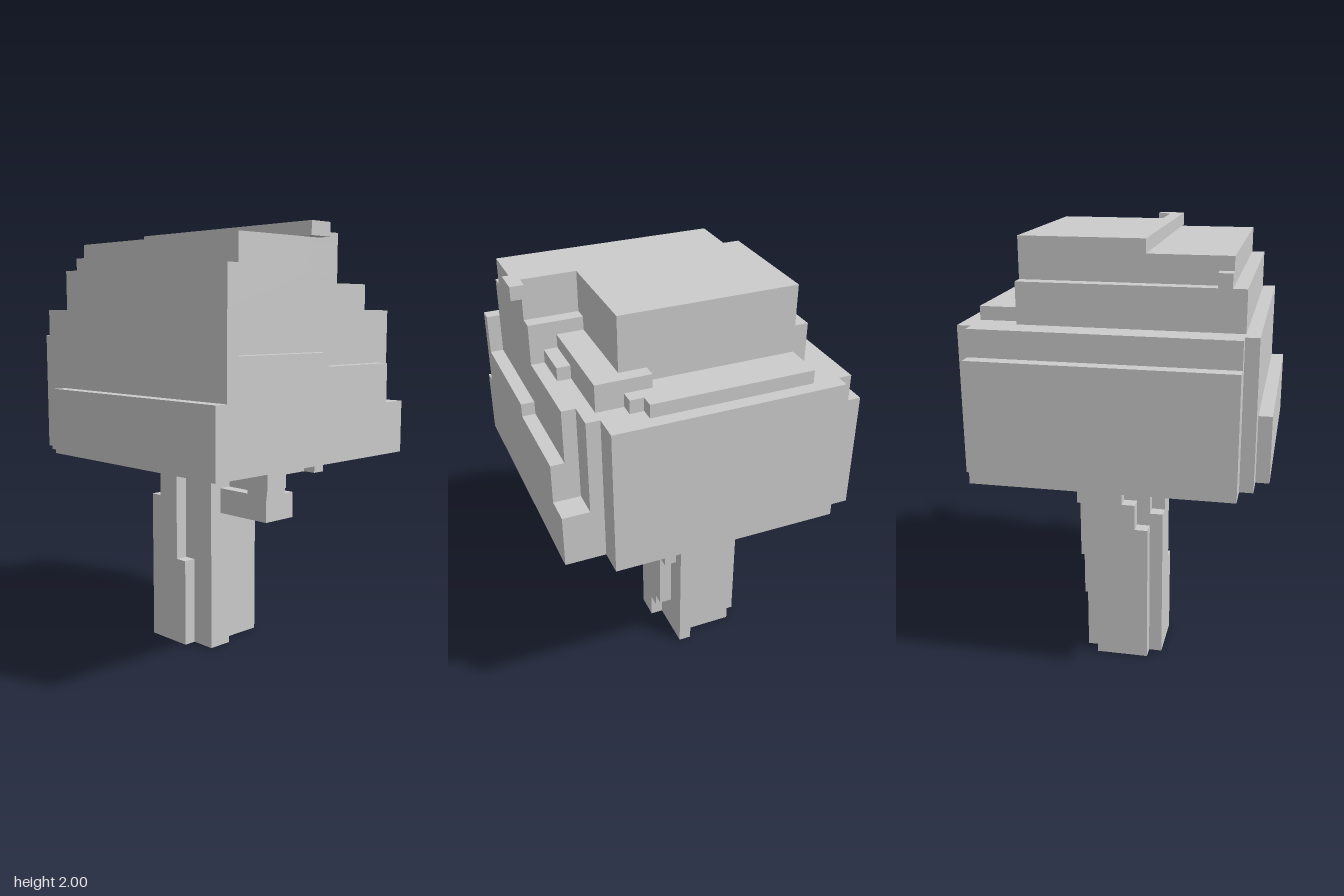
import * as THREE from 'three';

const U = 2 / 33; // one block of the grid

export function createModel() {
  const model = new THREE.Group();
  const material = new THREE.MeshStandardMaterial({ color: 0xcccccc, flatShading: true });

  // Adds a named group of boxes, each [x0, x1, y0, y1, z0, z1] in blocks
  function part(name, boxes) {
    const group = new THREE.Group();
    group.name = name;
    for (const [x0, x1, y0, y1, z0, z1] of boxes) {
      const geometry = new THREE.BoxGeometry((x1 - x0) * U, (y1 - y0) * U, (z1 - z0) * U);
      geometry.translate((x0 + x1) * U / 2, (y0 + y1) * U / 2, (z0 + z1) * U / 2);
      const mesh = new THREE.Mesh(geometry, material);
      mesh.name = name + 'Block';
      group.add(mesh);
    }
    model.add(group);
  }

  // Trunk core with the ridge on its front
  part('trunk', [
    [-4, 0, 0, 16, -3, 2],
    [-4, -2, 0, 15, 2, 3],
    [-2, -1, 0, 7, 2, 3],
    [-1, 0, 0, 16, -4, -3],
  ]);

  // Columns on the right of the trunk, stepping back as they rise: [top, front z]
  const steps = (x, zBack, list) => list.map(([top, z], i) =>
    [x, x + 1, i ? list[i - 1][0] : 0, top, zBack, z]);
  part('trunkRightSide', [
    ...steps(-5, -3, [[12, 3], [14, 2], [16, 1]]),
    ...steps(-6, -2, [[11, 2], [13, 1], [15, 0], [16, -1]]),
  ]);

  // Left side of the trunk, growing backwards as it rises
  part('trunkLeftSide', [
    [0, 1, 0, 2, 0, 2], [0, 1, 2, 3, -1, 2], [0, 1, 3, 8, -2, 2],
    [0, 1, 8, 10, -3, 2], [0, 1, 10, 16, -4, 2],
  ]);

  // Back of the trunk, widening upwards
  part('trunkBack', [
    [-2, -1, 3, 16, -4, -3], [-3, -2, 7, 16, -4, -3], [-4, -3, 12, 16, -4, -3],
  ]);

  // Side branch rising into the foliage
  part('branch', [
    [1, 6, 11, 13, -2, 1],
    [1, 6, 13, 14, -1, 0],
    [1, 4, 13, 14, -2, -1],
    [5, 7, 13, 15, 0, 2],
    [7, 8, 14, 16, 1, 3],
    [6, 8, 15, 16, -1, 1],
    [8, 9, 15, 16, -2, -1],
  ]);

  // Wide lower foliage
  part('lowerFoliage', [
    [-9, 8, 16, 27, -11, 10],
    [-10, -9, 16, 27, -10, 9],
    [-11, -10, 16, 25, -10, 9],
    [8, 9, 16, 27, -9, 10],
    [9, 10, 16, 27, -7, 10],
    [10, 11, 16, 27, 9, 10],
    [10, 11, 16, 24, 0, 9],
    [10, 11, 16, 23, -7, 0],
    [9, 11, 16, 20, -9, -7],
    [-7, 11, 16, 21, 10, 11],
  ]);

  // Middle foliage tier with ledges at the back and left
  part('middleFoliage', [
    [-8, 6, 27, 30, -7, 9],
    [6, 10, 27, 30, 0, 9],
    [-8, -7, 30, 31, 7, 8],
    [-7, 5, 27, 28, -10, -7],
    [5, 6, 27, 28, -9, -7],
    [4, 8, 27, 29, -8, -7],
    [6, 8, 27, 29, -7, 0],
    [8, 9, 27, 28, -3, 0],
  ]);

  // Crown with its small overhanging hook
  part('crown', [
    [-7, 6, 30, 32, -7, 8],
    [6, 10, 30, 32, 1, 8],
    [-7, 6, 32, 33, -7, 2],
    [6, 10, 32, 33, 1, 2],
    [10, 11, 32, 33, 0, 2],
  ]);

  return model;
}
